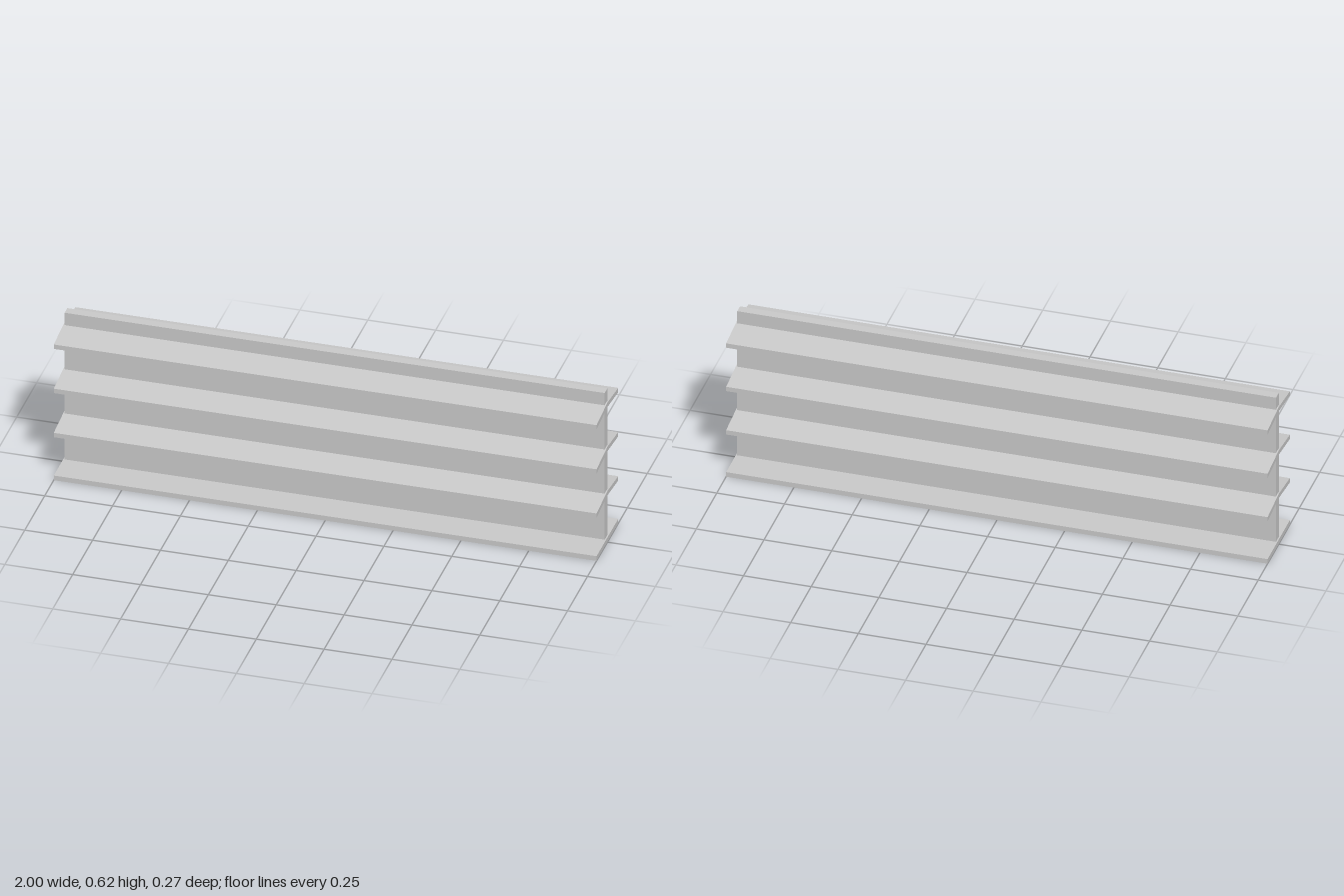
import * as THREE from 'three';

const LENGTH = 2;
const HALF_DEPTH = 0.136;
const THICKNESS = 0.018;

export function createModel() {
  const group = new THREE.Group();
  const material = new THREE.MeshStandardMaterial({ color: 0xcccccc, flatShading: true });

  const add = (name, geometry, y) => {
    const mesh = new THREE.Mesh(geometry, material);
    mesh.name = name;
    mesh.position.y = y;
    group.add(mesh);
  };

  // Flat base board
  add('base', new THREE.BoxGeometry(LENGTH, 0.019, HALF_DEPTH * 2), 0.0095);

  // Upright central panel, slightly shorter than the shelves
  add('centralPanel', new THREE.BoxGeometry(1.99, 0.601, 0.034), 0.3195);

  // Double-sided shelf: a shallow chevron section run along x, ridge top at y = 0
  const drop = 0.0155;
  const section = new THREE.Shape([
    [-HALF_DEPTH, -drop - THICKNESS],
    [0, -THICKNESS],
    [HALF_DEPTH, -drop - THICKNESS],
    [HALF_DEPTH, -drop],
    [0, 0],
    [-HALF_DEPTH, -drop],
  ].map(([z, y]) => new THREE.Vector2(z, y)));
  const shelf = new THREE.ExtrudeGeometry(section, { depth: LENGTH, bevelEnabled: false });
  shelf.translate(0, 0, -LENGTH / 2).rotateY(Math.PI / 2);

  ['lowerShelf', 'middleShelf', 'upperShelf'].forEach((name, i) => {
    add(name, shelf, 0.2095 + i * 0.181);
  });

  return group;
}
